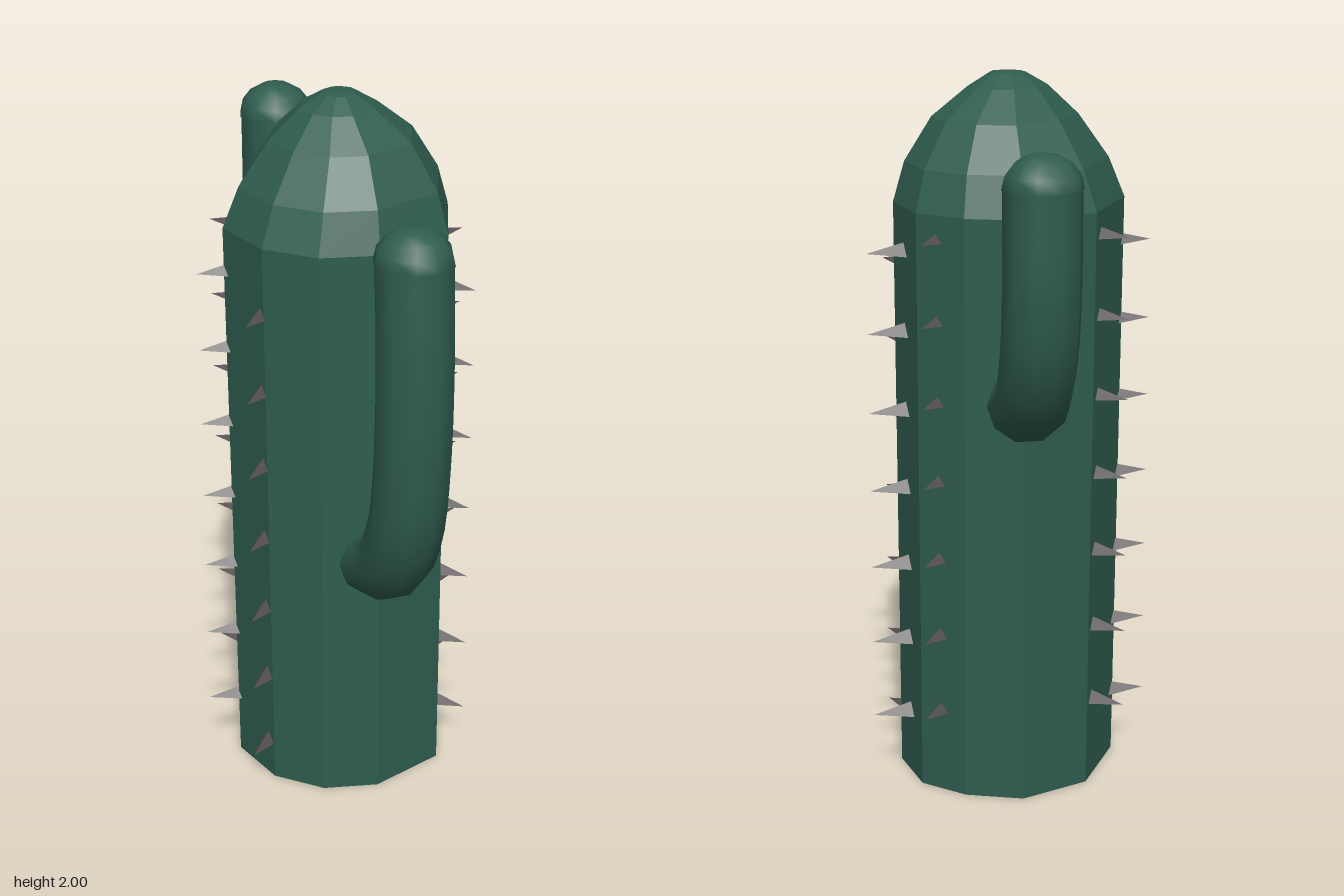
import * as THREE from 'three';
import { mergeGeometries } from 'three/addons/utils/BufferGeometryUtils.js';

const green = new THREE.MeshStandardMaterial({ color: 0x2f5d4f, flatShading: true });
const armGreen = new THREE.MeshStandardMaterial({ color: 0x2f5d4f, side: THREE.DoubleSide });
const spineGrey = new THREE.MeshStandardMaterial({ color: 0x554f50, flatShading: true });

// Irregular ten-sided trunk outline, [x, z], starting at the back
const outline = [
  [0, -0.333], [0.16, -0.28], [0.274, -0.18], [0.313, 0], [0.222, 0.226],
  [0, 0.306], [-0.156, 0.27], [-0.274, 0.16], [-0.325, -0.02], [-0.2, -0.25],
];
// Trunk rings: [height, scale, x shift, z shift]
const rings = [
  [0, 0.97, 0.005, 0.008], [1.65, 1, 0, 0], [1.76, 0.88, 0.006, 0],
  [1.88, 0.63, 0.01, -0.005], [1.96, 0.34, 0, -0.005], [1.995, 0.155, 0, -0.005],
];

function trunkGeometry() {
  const n = outline.length;
  const points = [];
  const faces = [];
  for (const [y, s, dx, dz] of rings)
    for (const [x, z] of outline) points.push(x * s + dx, y, z * s + dz);
  const bottom = points.length / 3;
  points.push(0, 0, 0, 0, 2, -0.005);
  for (let i = 0; i < n; i++) {
    const j = (i + 1) % n;
    for (let r = 0; r < rings.length - 1; r++) {
      const a = r * n + i, b = r * n + j;
      faces.push(b, a, a + n, b, a + n, b + n);
    }
    const top = (rings.length - 1) * n;
    faces.push(bottom, i, j, bottom + 1, top + j, top + i);
  }
  const geometry = new THREE.BufferGeometry();
  geometry.setAttribute('position', new THREE.Float32BufferAttribute(points, 3));
  geometry.setIndex(faces);
  geometry.computeVertexNormals();
  return geometry;
}

// Bent arm in the plane x = 0 with a rounded tip; path is [z, y]
function makeArm(name, path) {
  const curve = new THREE.CatmullRomCurve3(path.map(([z, y]) => new THREE.Vector3(0, y, z)));
  const tube = new THREE.TubeGeometry(curve, 16, 0.103, 10);
  const [z, y] = path[path.length - 1];
  const tip = new THREE.SphereGeometry(0.106, 10, 4, 0, Math.PI * 2, 0, Math.PI / 2);
  tip.scale(1, 0.88, 1).translate(0, y, z);
  const arm = new THREE.Mesh(mergeGeometries([tube, tip]), armGreen);
  arm.name = name;
  return arm;
}

// Three-sided spine pointing along +x with its ridge upwards
function spineGeometry() {
  return new THREE.ConeGeometry(0.034, 0.12, 3)
    .rotateY(-Math.PI / 2).rotateZ(-Math.PI / 2)
    .scale(1, 0.8, 1).translate(0.06, 0, 0);
}

export function createModel() {
  const cactus = new THREE.Group();
  cactus.name = 'cactus';

  const trunk = new THREE.Mesh(trunkGeometry(), green);
  trunk.name = 'trunk';
  cactus.add(trunk);

  cactus.add(makeArm('frontArm', [[0.2, 0.73], [0.3, 0.745], [0.42, 0.81], [0.51, 0.96], [0.55, 1.2], [0.555, 1.5], [0.54, 1.72]]));
  cactus.add(makeArm('backArm', [[-0.2, 1.13], [-0.3, 1.145], [-0.41, 1.19], [-0.5, 1.32], [-0.54, 1.5], [-0.547, 1.77]]));

  // Columns of spines: [tip x, tip z, direction x, direction z, lowest height]
  const columns = [
    [0.4, -0.1, 1, -0.2, 0.19], [-0.4, -0.022, -1, -0.03, 0.19],
    [0.325, 0.18, 0.65, 0.76, 0.12], [-0.338, 0.21, -0.68, 0.73, 0.12],
    [0.274, -0.28, 0.62, -0.78, 0.245], [-0.288, -0.27, -0.75, -0.66, 0.245],
  ];
  const spine = spineGeometry();
  const spines = new THREE.Group();
  spines.name = 'spines';
  for (const [x, z, dx, dz, y0] of columns) {
    const l = 0.12 / Math.hypot(dx, dz);
    for (let i = 0; i < 7; i++) {
      const mesh = new THREE.Mesh(spine, spineGrey);
      mesh.name = 'spine';
      mesh.position.set(x - dx * l, y0 + i * 0.223, z - dz * l);
      mesh.rotation.y = Math.atan2(-dz, dx);
      spines.add(mesh);
    }
  }
  cactus.add(spines);
  return cactus;
}
